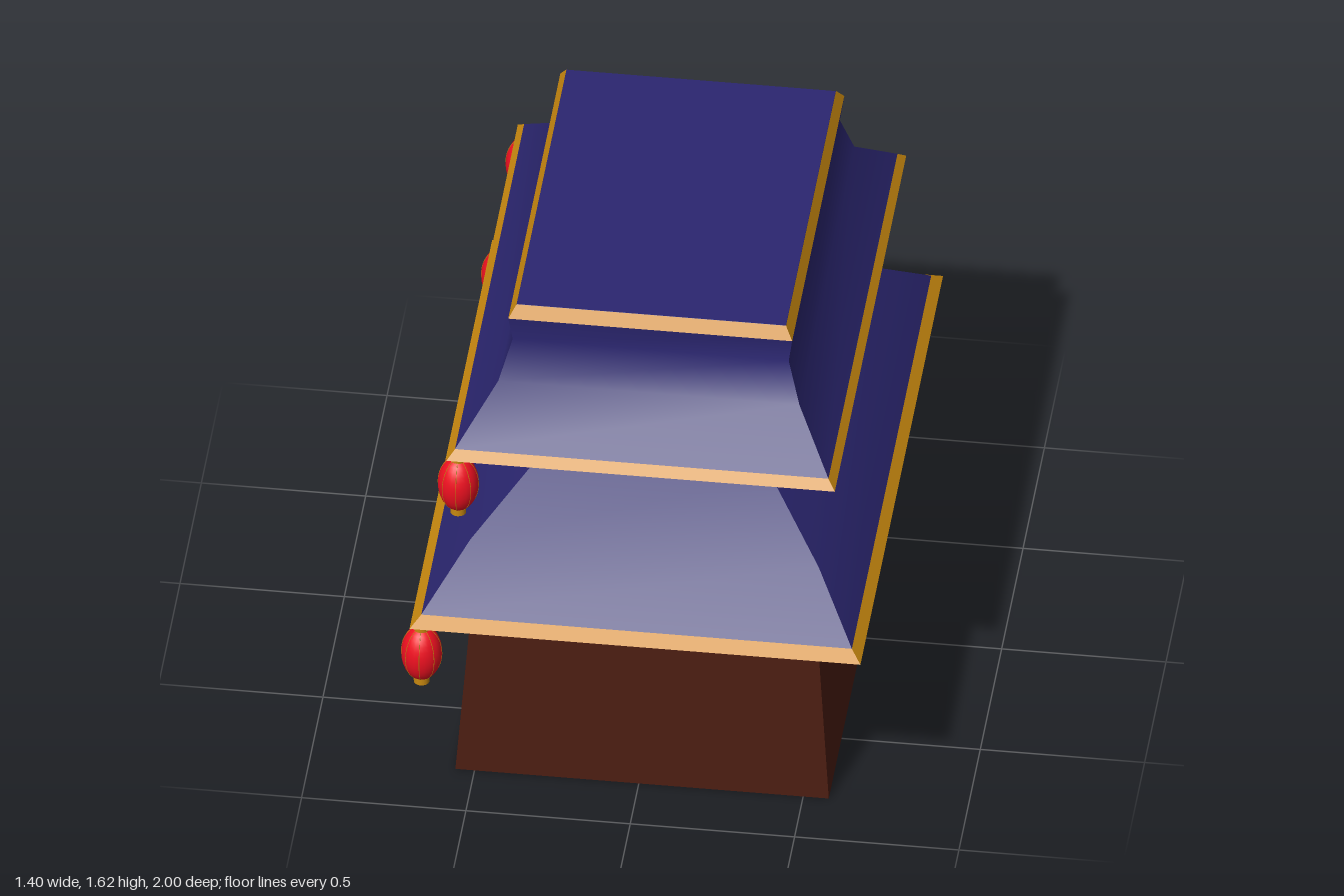
import * as THREE from 'three';
import { toCreasedNormals } from 'three/addons/utils/BufferGeometryUtils.js';

const mat = (color) => new THREE.MeshStandardMaterial({ color });

// Stack of rectangular rings [halfX, halfZ, y], joined bottom to top
function ringStack(rings, capBottom = false, capTop = false) {
  const pos = [];
  const corner = ([hx, hz, y], i) => [[hx, y, hz], [hx, y, -hz], [-hx, y, -hz], [-hx, y, hz]][i % 4];
  const quad = (a, b, c, d) => pos.push(...a, ...b, ...c, ...a, ...c, ...d);
  for (let r = 0; r < rings.length - 1; r++) {
    for (let i = 0; i < 4; i++) {
      quad(corner(rings[r], i), corner(rings[r], i + 1), corner(rings[r + 1], i + 1), corner(rings[r + 1], i));
    }
  }
  const cap = (ring, order) => quad(...order.map((i) => corner(ring, i)));
  if (capBottom) cap(rings[0], [3, 2, 1, 0]);
  if (capTop) cap(rings[rings.length - 1], [0, 1, 2, 3]);
  const geo = new THREE.BufferGeometry();
  geo.setAttribute('position', new THREE.Float32BufferAttribute(pos, 3));
  return toCreasedNormals(geo, 0.6);
}

export function createModel() {
  const model = new THREE.Group();
  model.name = 'pagoda';
  const roofMat = mat(0x2b2670), wallMat = mat(0x4a1c10), gold = mat(0xc8880f);
  const red = mat(0xee1020), wood = mat(0x6b3012);

  const add = (parent, name, geo, material, x = 0, y = 0, z = 0) => {
    const mesh = new THREE.Mesh(geo, material);
    mesh.name = name;
    mesh.position.set(x, y, z);
    parent.add(mesh);
    return mesh;
  };

  const building = new THREE.Group();
  building.name = 'building';
  building.position.x = 0.01;
  model.add(building);

  // Walls
  add(building, 'lowerWalls', ringStack([[0.568, 0.8, 0], [0.522, 0.738, 0.637]], true), wallMat);
  add(building, 'upperWalls', ringStack([[0.357, 0.508, 0.975], [0.357, 0.508, 1.146]]), wallMat);

  // Lower roof
  add(building, 'lowerCornice', ringStack([[0.5, 0.71, 0.635], [0.555, 0.775, 0.635]]), gold);
  add(building, 'lowerSoffit', ringStack([[0.555, 0.775, 0.635], [0.686, 0.967, 0.65]]), roofMat);
  add(building, 'lowerEaveTrim', ringStack([[0.686, 0.967, 0.65], [0.655, 0.928, 0.678]]), gold);
  add(building, 'lowerRoof', ringStack([[0.655, 0.928, 0.678], [0.53, 0.743, 0.835], [0.357, 0.508, 0.98]]), roofMat);

  // Upper roof
  add(building, 'upperSoffit', ringStack([[0.34, 0.49, 1.143], [0.357, 0.508, 1.143], [0.591, 0.836, 1.2]]), roofMat);
  add(building, 'upperEaveTrim', ringStack([[0.591, 0.836, 1.2], [0.568, 0.808, 1.226]]), gold);
  add(building, 'upperRoof', ringStack([
    [0.568, 0.808, 1.226], [0.458, 0.642, 1.37], [0.42, 0.598, 1.5], [0.432, 0.61, 1.585]]), roofMat);
  add(building, 'ridgeTrim', ringStack([[0.432, 0.61, 1.585], [0.41, 0.584, 1.622]]), gold);
  add(building, 'roofDeck', ringStack([[0.432, 0.61, 1.585], [0.41, 0.584, 1.621]], false, true).clone(), roofMat)
    .geometry = ringStack([[0.41, 0.584, 1.621], [0.409, 0.583, 1.622]], false, true);

  // Door with lattice, leaning with the side wall
  const door = new THREE.Group();
  door.name = 'door';
  door.position.set(-0.568, 0, 0.01);
  door.rotation.z = -0.073;
  building.add(door);
  const box = (name, w, h, d, x, y, z, m = wood) => add(door, name, new THREE.BoxGeometry(w, h, d), m, x, y, z);
  for (const s of [-1, 1]) {
    box('doorJamb', 0.02, 0.555, 0.025, -0.002, 0.2775, s * 0.178);
    box('doorStile', 0.012, 0.53, 0.015, -0.002, 0.265, s * 0.15);
  }
  box('doorLintel', 0.02, 0.025, 0.381, -0.002, 0.5425, 0);
  box('doorPanel', 0.006, 0.53, 0.34, -0.001, 0.265, 0, wallMat);
  box('doorRail', 0.012, 0.015, 0.3, -0.002, 0.24, 0);
  for (let i = 0; i < 8; i++) box('latticeBar', 0.01, 0.007, 0.29, -0.002, 0.285 + i * 0.03, 0);
  for (let i = -3; i <= 3; i++) box('latticePost', 0.009, 0.27, 0.007, -0.002, 0.38, i * 0.04);

  // Hanging lanterns: red body, thin gold ribs, gold caps
  const bodyGeo = new THREE.SphereGeometry(0.062, 24, 16).scale(1, 1.55, 1);
  const ribGeo = new THREE.TorusGeometry(0.0618, 0.0012, 4, 32).scale(1, 1.55, 1);
  const capGeo = new THREE.CylinderGeometry(0.024, 0.024, 0.026, 16);
  const lantern = (x, y, z) => {
    const g = new THREE.Group();
    g.name = 'lantern';
    g.position.set(x, y, z);
    add(g, 'lanternBody', bodyGeo, red);
    for (let i = 0; i < 4; i++) add(g, 'lanternRib', ribGeo, gold).rotation.y = (i * Math.PI) / 4;
    for (const s of [-1, 1]) add(g, 'lanternCap', capGeo, gold, 0, s * 0.098, 0);
    model.add(g);
  };
  for (const s of [-1, 1]) {
    lantern(-0.643, 0.543, s * 0.936);
    lantern(-0.585, 0.543, s * 0.663);
    lantern(-0.585, 0.543, s * 0.278);
    lantern(-0.55, 1.088, s * 0.793);
    lantern(-0.51, 1.088, s * 0.522);
  }
  return model;
}
